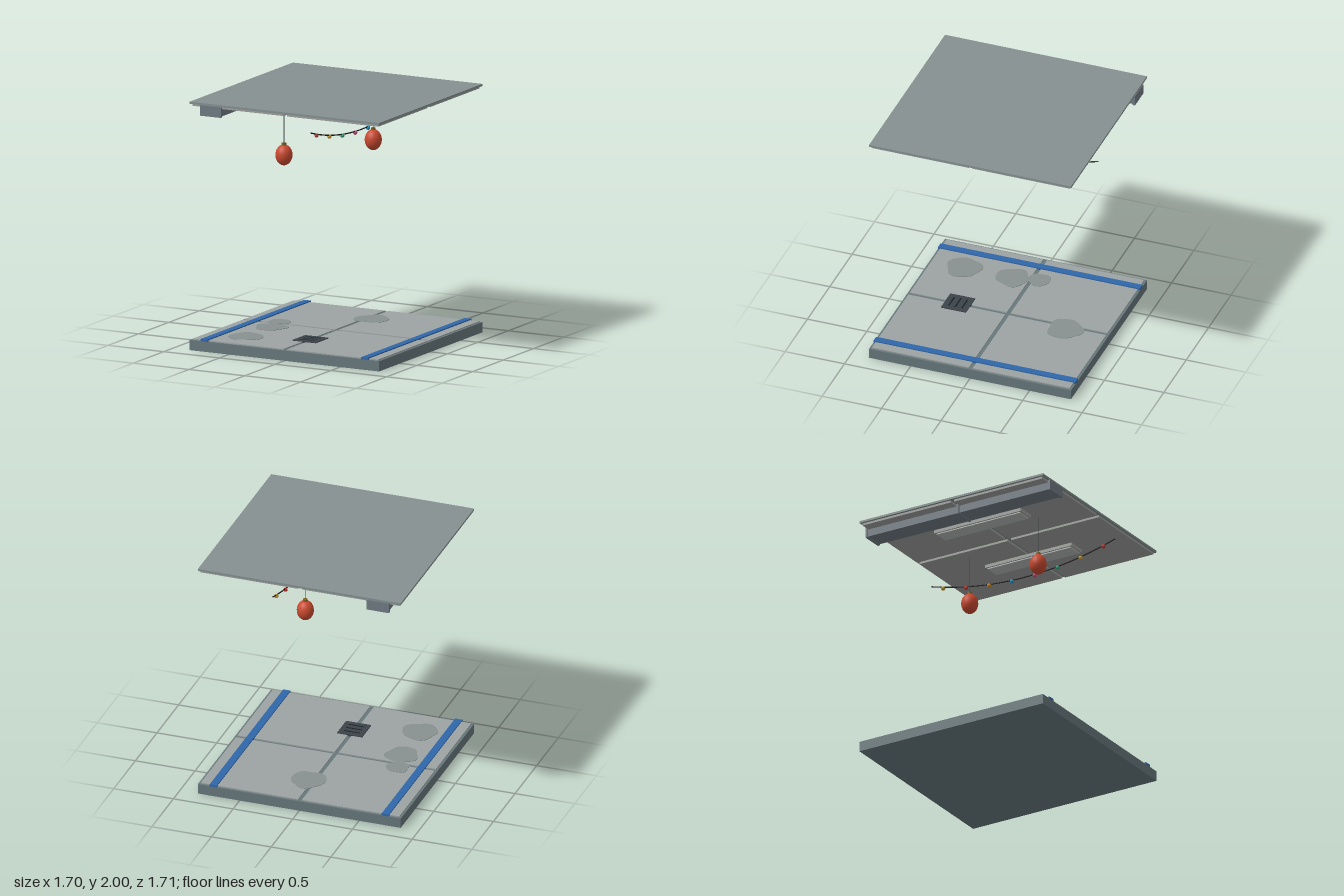
import * as THREE from 'three';

const mat = (color, extra = {}) => new THREE.MeshStandardMaterial({ color, ...extra });

export function createModel() {
  const model = new THREE.Group();
  const slabMat = mat(0x66777b), tileMat = mat(0x9da3a3), roofMat = mat(0x859091);
  const panelMat = mat(0x9c9f9c), lightMat = mat(0xb4b7b5), ductMat = mat(0x6f7a82);
  const darkMat = mat(0x3c444a), slotMat = mat(0x1c2024), blueMat = mat(0x2f66a8);
  const waterMat = mat(0x87918f), wireMat = mat(0x1a1a1a), cordMat = mat(0x4a4f55);
  const lanternMat = mat(0xc9492f), capMat = mat(0x7d6426);

  const add = (name, geometry, material, x, y, z, parent = model) => {
    const mesh = new THREE.Mesh(geometry, material);
    mesh.name = name;
    mesh.position.set(x, y, z);
    parent.add(mesh);
    return mesh;
  };
  // Box given by its centre in x and z and its bottom and top heights
  const box = (name, material, x, z, w, d, y0, y1, parent) =>
    add(name, new THREE.BoxGeometry(w, y1 - y0, d), material, x, (y0 + y1) / 2, z, parent);

  // Floor and ceiling slabs, each faced with four panels divided by open joints
  box('floorSlab', slabMat, 0, 0, 1.7, 1.7, 0, 0.082);
  box('ceilingSlab', roofMat, 0, 0, 1.7, 1.7, 1.983, 2);
  for (const sx of [-1, 1]) {
    for (const sz of [-1, 1]) {
      box('floorTile', tileMat, sx * 0.424, sz * 0.424, 0.816, 0.816, 0.082, 0.091);
      box('ceilingPanel', panelMat, sx * 0.424, sz * 0.424, 0.816, 0.816, 1.965, 1.983);
    }
    // Guide strip on the floor and light fixture on the ceiling
    box('guideStrip', blueMat, sx * 0.72, 0, 0.06, 1.7, 0.082, 0.1);
    box('lightHousing', panelMat, sx * 0.38, 0, 0.155, 0.8, 1.939, 1.965);
    box('lightDiffuser', lightMat, sx * 0.38, 0, 0.13, 0.77, 1.93, 1.939);
  }

  // Floor drain with slots
  const drain = new THREE.Group();
  drain.name = 'drain';
  model.add(drain);
  box('drainCover', darkMat, 0, 0.42, 0.21, 0.21, 0.082, 0.098, drain);
  for (const dz of [-0.055, 0, 0.055])
    box('drainSlot', slotMat, 0, 0.42 + dz, 0.13, 0.012, 0.098, 0.0995, drain);

  // Shallow puddles with wavy outlines
  const puddles = [[-0.5, 0.15, 0.13], [-0.54, -0.06, 0.09], [-0.5, 0.56, 0.14], [0.05, -0.5, 0.14]];
  puddles.forEach(([x, z, r], k) => {
    const outline = [];
    for (let i = 0; i < 40; i++) {
      const a = (i / 40) * Math.PI * 2;
      const q = r * (1 + 0.07 * Math.sin(3 * a + k) + 0.04 * Math.sin(5 * a + 2 * k));
      outline.push(new THREE.Vector2(q * Math.cos(a), q * Math.sin(a)));
    }
    const geometry = new THREE.ExtrudeGeometry(new THREE.Shape(outline), { depth: 0.003, bevelEnabled: false });
    geometry.rotateX(-Math.PI / 2);
    add('puddle', geometry, waterMat, x, 0.091 + k * 0.0003, z);
  });

  // Air duct along the ceiling with collars at its ends and middle
  const duct = new THREE.Group();
  duct.name = 'duct';
  model.add(duct);
  box('ductBody', ductMat, -0.66, 0, 0.17, 1.7, 1.904, 1.983, duct);
  for (const z of [-0.845, 0, 0.845])
    box('ductCollar', ductMat, -0.66, z, 0.186, 0.02, 1.898, 1.983, duct);

  // Hanging lanterns
  for (const [x, z] of [[-0.235, 0.425], [0.105, -0.42]]) {
    const lantern = new THREE.Group();
    lantern.name = 'lantern';
    lantern.position.set(x, 0, z);
    model.add(lantern);
    const shade = add('lanternShade', new THREE.SphereGeometry(0.068, 24, 16), lanternMat, 0, 1.556, 0, lantern);
    shade.scale.y = 1.23;
    add('lanternCap', new THREE.CylinderGeometry(0.019, 0.019, 0.018, 16), capMat, 0, 1.644, 0, lantern);
    add('lanternCord', new THREE.CylinderGeometry(0.003, 0.003, 0.315, 8), cordMat, 0, 1.8085, 0, lantern);
  }

  // Sagging string of coloured bulbs
  const bulbString = new THREE.Group();
  bulbString.name = 'bulbString';
  model.add(bulbString);
  const sag = (z) => 1.73 + 0.128 * (z / 0.85) ** 2;
  const points = [];
  for (let i = 0; i <= 16; i++) {
    const z = -0.85 + (1.7 * i) / 16;
    points.push(new THREE.Vector3(0.23, sag(z), z));
  }
  add('wire', new THREE.TubeGeometry(new THREE.CatmullRomCurve3(points), 48, 0.005, 8), wireMat, 0, 0, 0, bulbString);
  const colors = [0xc43a32, 0xc79a2c, 0x3f9f80, 0xc9527f, 0x2f93bd, 0xcf8a2a, 0xc43a32, 0xc79a2c];
  colors.forEach((color, i) => {
    const z = 0.743 - i * 0.2123;
    add('bulb', new THREE.SphereGeometry(0.017, 14, 10), mat(color), 0.23, sag(z) - 0.01, z, bulbString);
  });

  return model;
}
